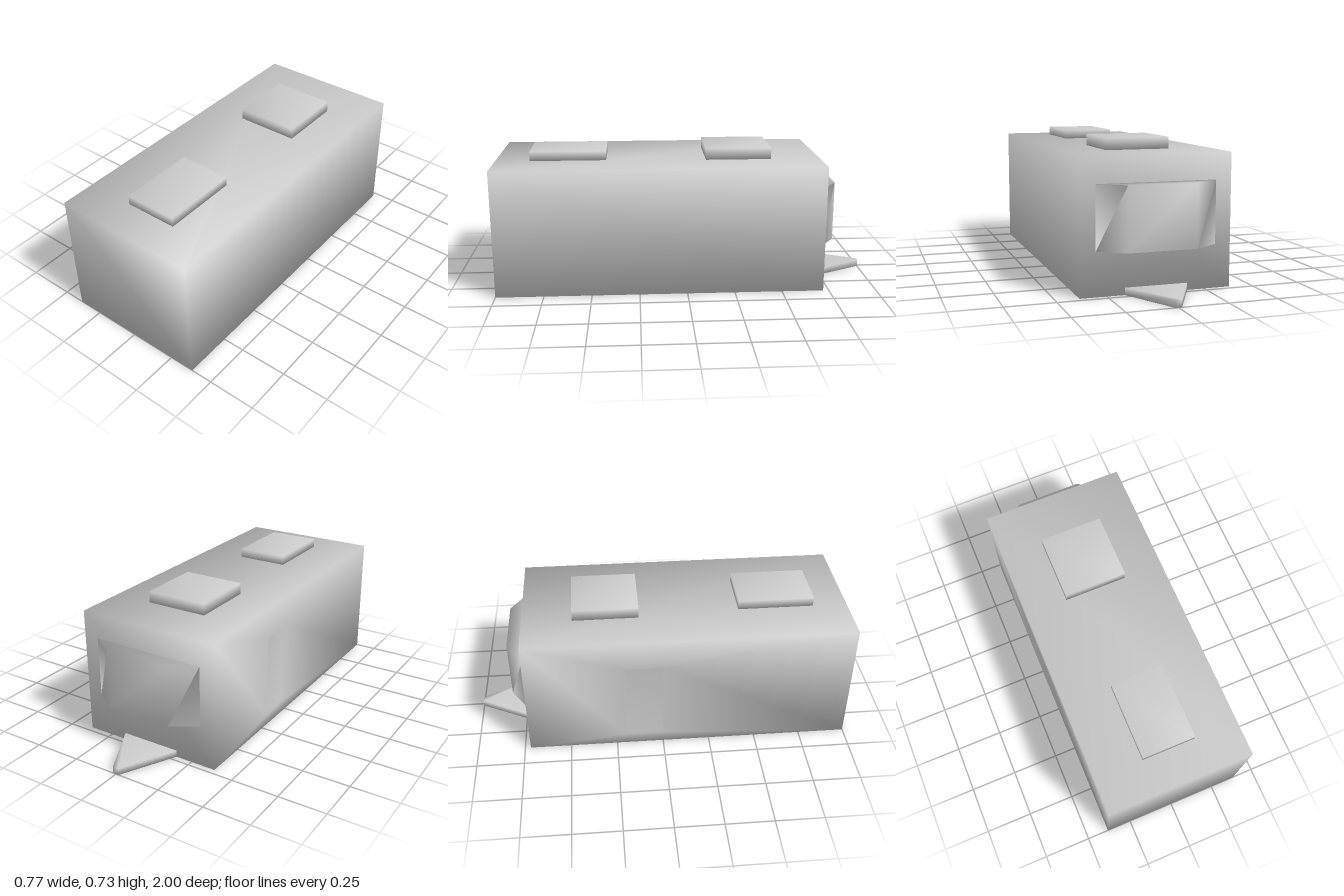
import * as THREE from 'three';

const material = new THREE.MeshStandardMaterial({ color: 0xcccccc });

// Joins rings of points with quads and closes both ends; shared corners give soft shading.
function loft(name, rings) {
  const n = rings[0].length, last = (rings.length - 1) * n, index = [];
  for (let r = 0; r < rings.length - 1; r++) {
    for (let j = 0; j < n; j++) {
      const a = r * n + j, b = r * n + (j + 1) % n;
      index.push(a, b, b + n, a, b + n, a + n);
    }
  }
  for (let j = 1; j < n - 1; j++) {
    index.push(0, j + 1, j);
    index.push(last, last + j, last + j + 1);
  }
  const geometry = new THREE.BufferGeometry();
  geometry.setAttribute('position', new THREE.Float32BufferAttribute(rings.flat(2), 3));
  geometry.setIndex(index);
  geometry.computeVertexNormals();
  const mesh = new THREE.Mesh(geometry, material);
  mesh.name = name;
  return mesh;
}

// Rectangle in the plane of a side wall
const sideRing = (x, z0, z1, y0, y1) => [[x, y0, z0], [x, y0, z1], [x, y1, z1], [x, y1, z0]];

// Upright prism from a plan outline of [z, x] points
const prism = (name, plan, y0, y1) =>
  loft(name, [y0, y1].map((y) => plan.map(([z, x]) => [x, y, z])));

const rect = (x0, x1, z0, z1) => [[z0, x0], [z1, x0], [z1, x1], [z0, x1]];

export function createModel() {
  const group = new THREE.Group();
  group.name = 'caravan';

  // Cabin, with a shallow door recess in its right wall
  group.add(loft('cabin', [
    sideRing(0.384, -0.72, 1, 0, 0.67),
    sideRing(-0.384, -0.72, 1, 0, 0.67),
    sideRing(-0.384, -0.2, 0, 0.06, 0.505),
    sideRing(-0.361, -0.2, 0, 0.06, 0.505),
  ]));

  // Roof hatches
  group.add(prism('rearRoofHatch', rect(-0.16, 0.172, -0.457, -0.11), 0.67, 0.73));
  group.add(prism('frontRoofHatch', rect(-0.128, 0.15, 0.418, 0.818), 0.67, 0.719));

  // Bay on the end wall, narrower on its outer face
  group.add(prism('endBay',
    [[-0.806, -0.175], [-0.72, -0.305], [-0.72, 0.305], [-0.806, 0.175]], 0.22, 0.537));

  // Tapered towing tongue
  group.add(prism('towingTongue',
    [[-1, -0.016], [-0.72, -0.16], [-0.72, 0.16], [-1, 0.016]], 0, 0.036));

  return group;
}
